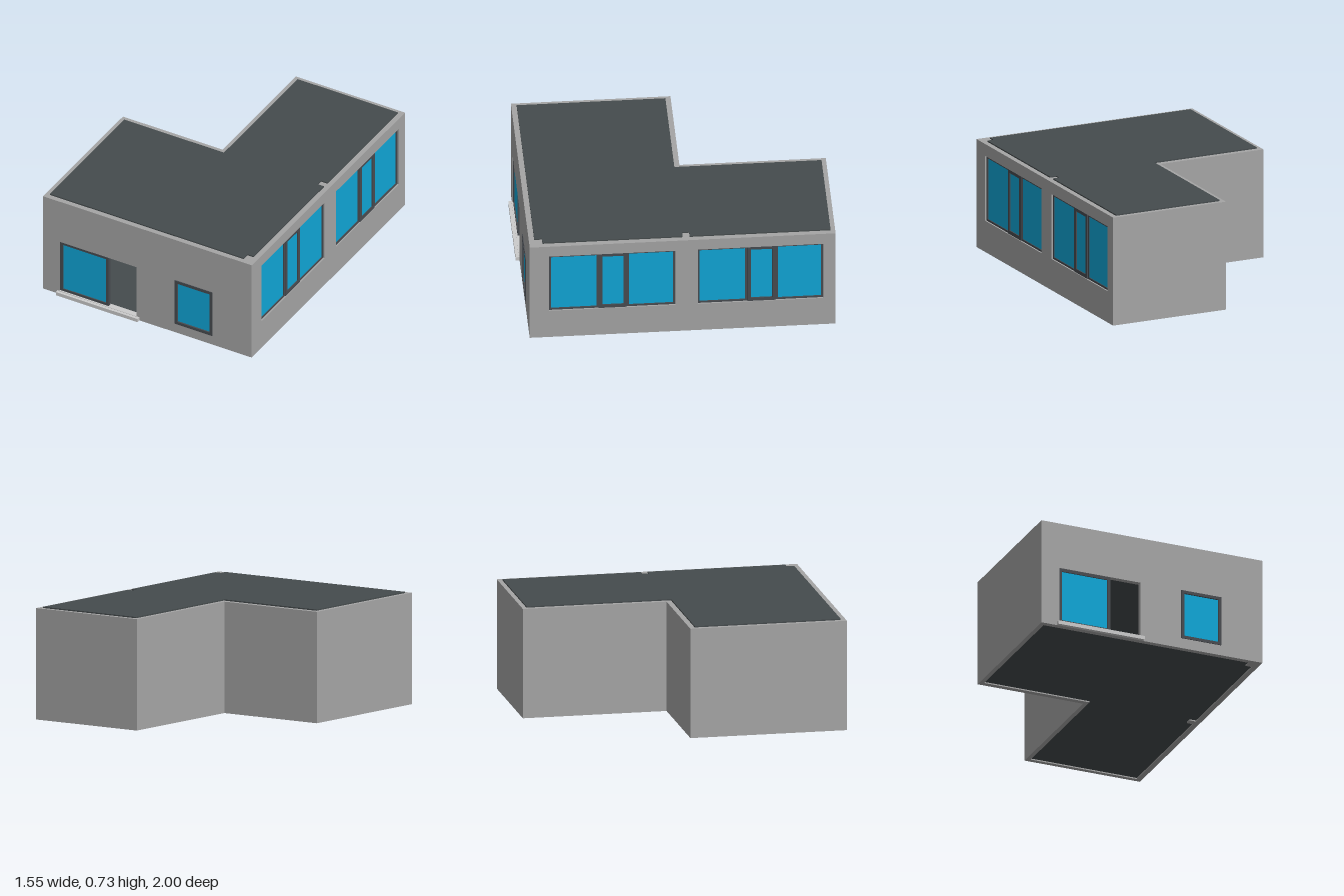
import * as THREE from 'three';

const mat = (color) => new THREE.MeshStandardMaterial({ color, roughness: 0.9 });

export function createModel() {
  const house = new THREE.Group();
  house.name = 'house';
  const plaster = mat(0xa5a5a5), stone = mat(0xcccccc);
  const dark = mat(0x454b4d), frameMat = mat(0x484b50), glassMat = mat(0x10a6d7);
  const H = 0.725;

  const add = (parent, name, geometry, material) => {
    const mesh = new THREE.Mesh(geometry, material);
    mesh.name = name;
    parent.add(mesh);
    return mesh;
  };

  // Box given by its two extreme corners
  const box = (parent, name, material, x0, x1, y0, y1, z0, z1) => {
    const m = add(parent, name, new THREE.BoxGeometry(x1 - x0, y1 - y0, z1 - z0), material);
    m.position.set((x0 + x1) / 2, (y0 + y1) / 2, (z0 + z1) / 2);
    return m;
  };

  // Upright panel [u0, u1, y0, y1] with rectangular holes
  const rect = (Type, [u0, u1, y0, y1]) => new Type([
    new THREE.Vector2(u0, y0), new THREE.Vector2(u1, y0),
    new THREE.Vector2(u1, y1), new THREE.Vector2(u0, y1)]);
  const panel = (parent, name, material, outer, holes, z, depth) => {
    const shape = rect(THREE.Shape, outer);
    shape.holes = holes.map((h) => rect(THREE.Path, h));
    const g = new THREE.ExtrudeGeometry(shape, { depth, bevelEnabled: false });
    g.translate(0, 0, z);
    return add(parent, name, g, material);
  };

  // Frame with a pane set inside it
  const sash = (parent, name, [u0, u1, y0, y1], t, z, depth, pane = depth * 0.4) => {
    const group = new THREE.Group();
    group.name = name;
    parent.add(group);
    const inner = [u0 + t, u1 - t, y0 + t, y1 - t];
    panel(group, 'frame', frameMat, [u0, u1, y0, y1], [inner], z, depth);
    panel(group, 'glass', glassMat, inner, [], z + depth / 2 - pane / 2, pane);
  };

  // Front wall with the doorway and a window opening
  const doorway = [-0.65, -0.08, 0.025, 0.41];
  const frontWindow = [0.205, 0.485, 0.07, 0.41];
  panel(house, 'frontWall', plaster, [-0.775, 0.775, 0, H], [doorway, frontWindow], 0.94, 0.035);
  sash(house, 'frontWindow', frontWindow, 0.02, 0.945, 0.035);
  sash(house, 'slidingDoor', [-0.65, -0.29, 0.025, 0.41], 0.02, 0.945, 0.025);
  box(house, 'doorStep', stone, -0.665, -0.06, 0, 0.025, 0.975, 1);
  box(house, 'doorSill', stone, -0.65, -0.08, 0.02, 0.028, 0.94, 0.98);

  // Right side is drawn flat with u = -z, then turned to face +x
  const side = new THREE.Group();
  side.name = 'longSide';
  side.rotation.y = Math.PI / 2;
  house.add(side);
  const bays = [[-0.85, -0.035], [0.11, 0.92]];
  const y0 = 0.21, y1 = 0.645;
  panel(side, 'longWall', plaster, [-0.94, 1, 0, H], bays.map(([a, b]) => [a, b, y0, y1]), 0.74, 0.035);
  for (const [a, b] of bays) {
    const m0 = a + 0.32, m1 = a + 0.505;
    const window = new THREE.Group();
    window.name = 'tripleWindow';
    side.add(window);
    sash(window, 'fixedPane', [a, m0, y0, y1], 0.013, 0.745, 0.02);
    sash(window, 'openingSash', [m0, m1, y0, y1], 0.024, 0.745, 0.025);
    sash(window, 'fixedPane', [m1, b, y0, y1], 0.013, 0.745, 0.02);
  }

  // Plain walls around the back of the L
  box(house, 'backWall', plaster, -0.035, 0.74, 0, H, -1, -0.97);
  box(house, 'wingWall', plaster, -0.035, -0.005, 0, H, -0.97, -0.02);
  box(house, 'innerBackWall', plaster, -0.775, -0.035, 0, H, -0.055, -0.02);
  box(house, 'leftWall', plaster, -0.775, -0.745, 0, H, -0.02, 0.94);

  // Pillars against the long wall
  box(house, 'cornerPillar', plaster, 0.695, 0.74, 0, H, 0.89, 0.94);
  box(house, 'middlePillar', plaster, 0.695, 0.74, 0, H, -0.06, -0.015);

  // Roof and floor slabs, notched around the pillars
  const outline = [
    [-0.745, -0.94], [0.695, -0.94], [0.695, -0.89], [0.74, -0.89], [0.74, 0.015],
    [0.695, 0.015], [0.695, 0.06], [0.74, 0.06], [0.74, 0.97], [-0.005, 0.97],
    [-0.005, 0.02], [-0.745, 0.02]];
  const slab = (name, bottom, depth) => {
    const shape = new THREE.Shape(outline.map(([x, y]) => new THREE.Vector2(x, y)));
    const g = new THREE.ExtrudeGeometry(shape, { depth, bevelEnabled: false });
    g.rotateX(-Math.PI / 2);
    g.translate(0, bottom, 0);
    add(house, name, g, dark);
  };
  slab('roof', 0.7, 0.033);
  slab('floor', 0.008, 0.015);

  return house;
}
